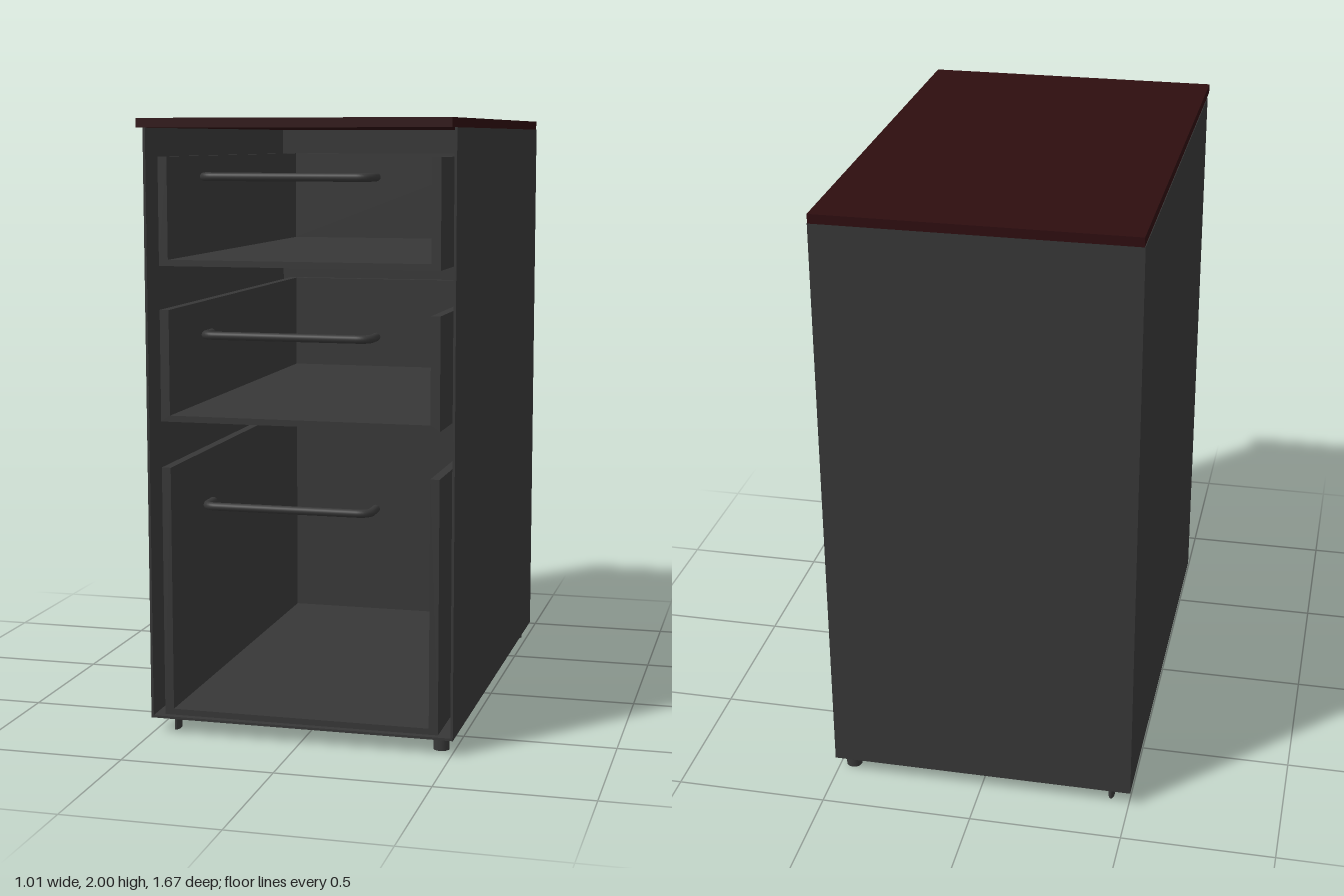
import * as THREE from 'three';

const bodyGrey = new THREE.MeshStandardMaterial({ color: 0x373737 });
bodyGrey.name = 'charcoal grey';
const topRed = new THREE.MeshStandardMaterial({ color: 0x2d0d0f });
topRed.name = 'dark mahogany';

function mesh(parent, name, geometry, material, x = 0, y = 0, z = 0) {
  const m = new THREE.Mesh(geometry, material);
  m.name = name;
  m.position.set(x, y, z);
  parent.add(m);
  return m;
}

// box given by its two extreme corners
function box(parent, name, material, [x0, y0, z0], [x1, y1, z1]) {
  return mesh(parent, name, new THREE.BoxGeometry(x1 - x0, y1 - y0, z1 - z0), material,
    (x0 + x1) / 2, (y0 + y1) / 2, (z0 + z1) / 2);
}

// rounded U-shaped pull, centred on its own x and y
function handleGeometry() {
  const path = new THREE.CurvePath();
  const v = (x, z) => new THREE.Vector3(x, 0, z);
  const half = 0.267, front = 0.82, r = 0.04;
  path.add(new THREE.LineCurve3(v(-half, 0.73), v(-half, front - r)));
  path.add(new THREE.QuadraticBezierCurve3(v(-half, front - r), v(-half, front), v(-half + r, front)));
  path.add(new THREE.LineCurve3(v(-half + r, front), v(half - r, front)));
  path.add(new THREE.QuadraticBezierCurve3(v(half - r, front), v(half, front), v(half, front - r)));
  path.add(new THREE.LineCurve3(v(half, front - r), v(half, 0.73)));
  return new THREE.TubeGeometry(path, 96, 0.013, 12, false);
}

// tray with an open front: U-shaped sides and floor plus a back wall
function drawer(bottom, top, handleY, handleGeo) {
  const g = new THREE.Group();
  g.name = 'drawer';
  const xl = -0.46, xr = 0.455, t = 0.03, back = -0.8, front = 0.7;
  const u = new THREE.Shape([
    [xl, bottom], [xr, bottom], [xr, top], [xr - t, top],
    [xr - t, bottom + 0.02], [xl + t, bottom + 0.02], [xl + t, top], [xl, top],
  ].map(([x, y]) => new THREE.Vector2(x, y)));
  mesh(g, 'drawerTray', new THREE.ExtrudeGeometry(u, { depth: front - back, bevelEnabled: false }),
    bodyGrey, 0, 0, back);
  box(g, 'drawerBack', bodyGrey, [xl + t, bottom + 0.02, back], [xr - t, top, back + t]);
  const handle = mesh(g, 'drawerHandle', handleGeo, bodyGrey, -0.008, handleY, 0);
  // end caps of the pull
  for (const s of [-1, 1]) {
    const cap = mesh(handle, 'handleEnd', new THREE.CircleGeometry(0.013, 12), bodyGrey, s * 0.267, 0, 0.73);
    cap.rotation.y = Math.PI;
  }
  return g;
}

export function createModel() {
  const model = new THREE.Group();
  model.name = 'drawerCabinet';

  // thin cabinet shell, open at the front
  const shell = new THREE.Group();
  shell.name = 'cabinetShell';
  model.add(shell);
  const w = 0.505, t = 0.008, y0 = 0.05, y1 = 1.97, zb = -0.83, zf = 0.71;
  box(shell, 'leftSide', bodyGrey, [w - t, y0, zb], [w, y1, zf]);
  box(shell, 'rightSide', bodyGrey, [-w, y0, zb], [-w + t, y1, zf]);
  box(shell, 'backPanel', bodyGrey, [-w + t, y0, zb], [w - t, y1, zb + t]);
  box(shell, 'bottomPanel', bodyGrey, [-w + t, y0, zb + t], [w - t, y0 + t, zf]);

  // overhanging counter
  box(model, 'counterTop', topRed, [-0.503, y1, -0.833], [0.503, 2, 0.775]);

  // three drawers with pulls
  const handleGeo = handleGeometry();
  for (const [bottom, top, handleY] of [[1.535, 1.88, 1.82], [1.035, 1.395, 1.33], [0.062, 0.885, 0.79]]) {
    model.add(drawer(bottom, top, handleY, handleGeo));
  }

  // feet, narrower on the right-hand side
  const footGeo = new THREE.CylinderGeometry(0.026, 0.026, y0, 16);
  for (const z of [0.64, -0.777]) {
    mesh(model, 'leftFoot', footGeo, bodyGrey, 0.455, y0 / 2, z);
    mesh(model, 'rightFoot', footGeo, bodyGrey, -0.436, y0 / 2, z).scale.x = 0.38;
  }
  return model;
}
